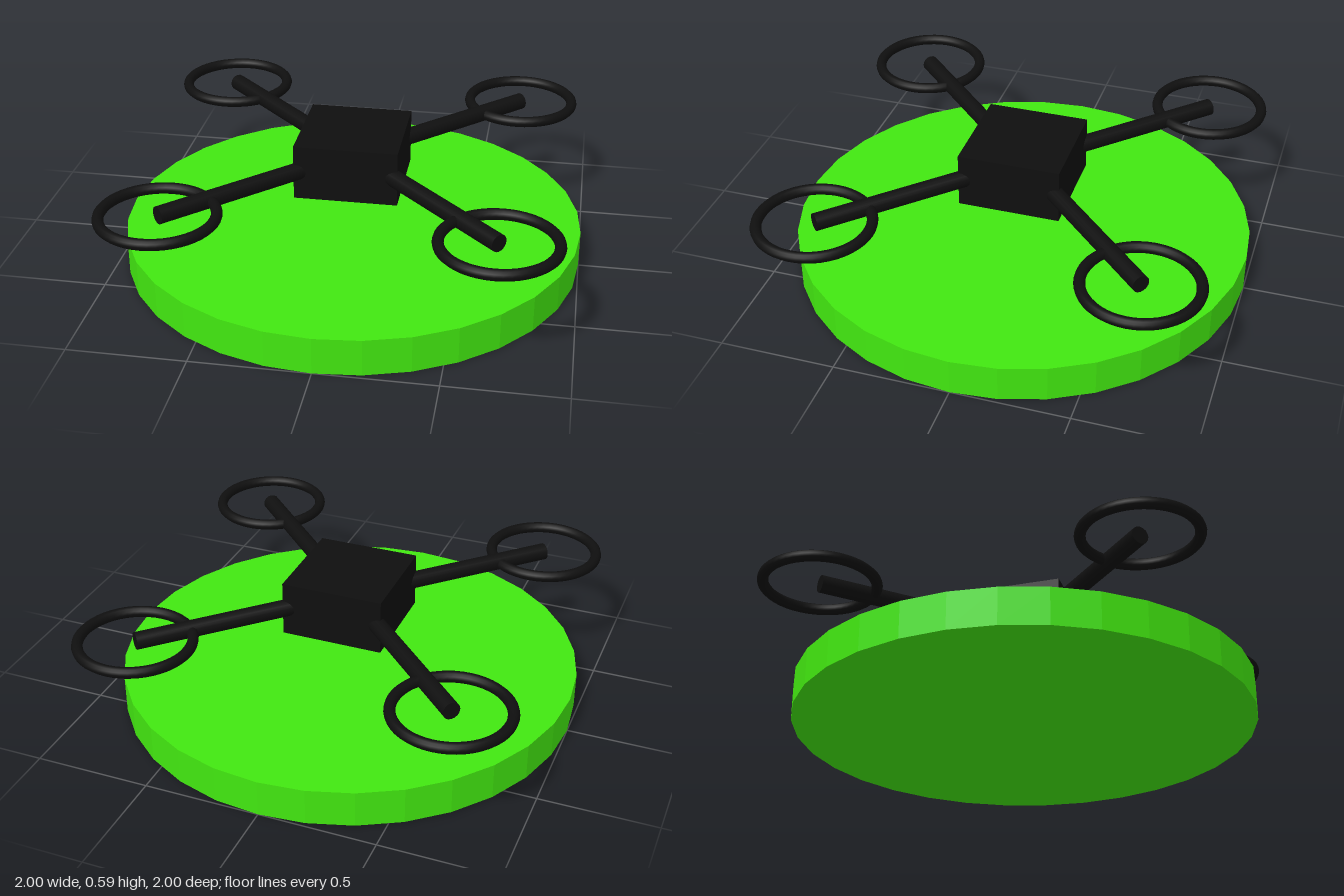
import * as THREE from 'three';

export function createModel() {
  const group = new THREE.Group();
  group.name = 'quadcopterOnPad';

  const green = new THREE.MeshStandardMaterial({ color: 0x44ee11, flatShading: true });
  green.name = 'bright green';
  const black = new THREE.MeshStandardMaterial({ color: 0x0f0f0f });
  black.name = 'black';

  const add = (name, geometry, material, x, y, z) => {
    const mesh = new THREE.Mesh(geometry, material);
    mesh.name = name;
    mesh.position.set(x, y, z);
    group.add(mesh);
    return mesh;
  };

  const hoverY = 0.466; // shared centre height of body, arms and rings
  const reach = 0.682; // rotor centre along x and z

  // Faceted landing pad
  add('landingPad', new THREE.CylinderGeometry(1, 1, 0.16, 32), green, 0, 0.08, 0);

  // Central body
  add('body', new THREE.BoxGeometry(0.444, 0.24, 0.444), black, 0, hoverY, 0);

  // Arm along each diagonal, running out from inside the body
  const armLength = reach * Math.SQRT2;
  const armGeometry = new THREE.CylinderGeometry(0.0375, 0.0375, armLength, 16);
  armGeometry.rotateZ(Math.PI / 2);

  // Flat rotor ring
  const ringGeometry = new THREE.TorusGeometry(0.237, 0.0235, 12, 48);
  ringGeometry.rotateX(Math.PI / 2);

  for (const [side, sx] of [['Left', 1], ['Right', -1]]) {
    for (const [end, sz] of [['front', 1], ['back', -1]]) {
      const arm = add(`${end}${side}Arm`, armGeometry, black, sx * reach / 2, hoverY, sz * reach / 2);
      arm.rotation.y = Math.atan2(-sz, sx);
      add(`${end}${side}RotorRing`, ringGeometry, black, sx * reach, hoverY, sz * reach);
    }
  }

  return group;
}
